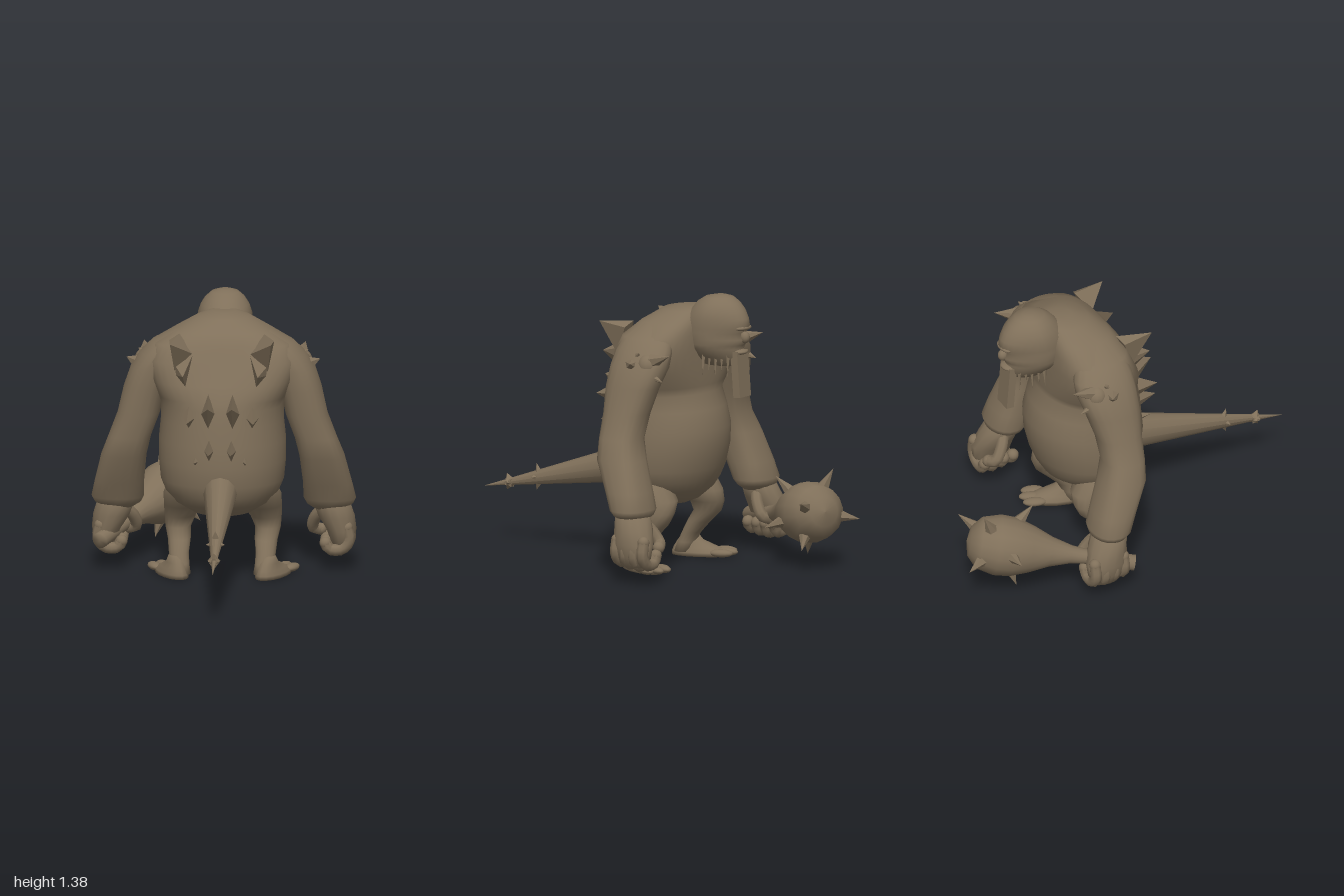
import * as THREE from 'three';
import { ConvexGeometry } from 'three/addons/geometries/ConvexGeometry.js';

const V = (x, y, z) => new THREE.Vector3(x, y, z);
const UP = V(0, 1, 0);

export function createModel() {
  const model = new THREE.Group();
  const hide = new THREE.MeshStandardMaterial({ color: 0x80705a });
  hide.name = 'brown hide';

  function add(geo, name, parent = model) {
    const m = new THREE.Mesh(geo, hide);
    m.name = name;
    parent.add(m);
    return m;
  }
  function group(name) {
    const g = new THREE.Group();
    g.name = name;
    model.add(g);
    return g;
  }

  // Skin over horizontal rings [x, y, z, rx, rz, roundness], lowest ring first; roundness below 1 is boxier
  function loft(rings, n = 20) {
    const pos = [], idx = [];
    const bend = (v, p) => Math.sign(v) * Math.abs(v) ** p;
    for (const [x, y, z, rx, rz, p = 1] of rings)
      for (let j = 0; j < n; j++) {
        const a = (j / n) * Math.PI * 2;
        pos.push(x + bend(Math.cos(a), p) * rx, y, z + bend(Math.sin(a), p) * rz);
      }
    for (let i = 0; i < rings.length - 1; i++)
      for (let j = 0; j < n; j++) {
        const a = i * n + j, b = i * n + (j + 1) % n;
        idx.push(a, a + n, b, b, a + n, b + n);
      }
    const last = (rings.length - 1) * n, c = rings.length * n;
    pos.push(...rings[0].slice(0, 3), ...rings[rings.length - 1].slice(0, 3));
    for (let j = 0; j < n; j++) {
      const k = (j + 1) % n;
      idx.push(c, j, k, c + 1, last + k, last + j);
    }
    const g = new THREE.BufferGeometry();
    g.setAttribute('position', new THREE.Float32BufferAttribute(pos, 3));
    g.setIndex(idx);
    g.computeVertexNormals();
    return g;
  }
  // Rings given by side profile [y, front z, back z, half width, roundness]
  const profile = rows => rows.map(([y, f, b, w, p]) => [0, y, (f + b) / 2, w, (b - f) / 2, p]);

  function spike(base, tip, r, name, parent, sides = 6) {
    const d = tip.clone().sub(base), len = d.length();
    let g = new THREE.ConeGeometry(r, len, sides);
    g.translate(0, len / 2, 0);
    if (sides < 10) { g = g.toNonIndexed(); g.computeVertexNormals(); }
    const m = add(g, name, parent);
    m.position.copy(base);
    m.quaternion.setFromUnitVectors(UP, d.normalize());
    return m;
  }
  function ball(x, y, z, sx, sy, sz, name, parent) {
    const m = add(new THREE.SphereGeometry(1, 14, 10), name, parent);
    m.position.set(x, y, z);
    m.scale.set(sx, sy, sz);
    return m;
  }
  // Bent limb with rounded ends
  function digit(points, r, name, parent) {
    add(new THREE.TubeGeometry(new THREE.CatmullRomCurve3(points), 10, r, 8), name, parent);
    for (const p of [points[0], points[points.length - 1]]) ball(p.x, p.y, p.z, r, r, r, name + 'Tip', parent);
  }

  // Torso: round belly under a broad, boxy chest
  add(loft(profile([
    [0.31, -0.22, -0.06, 0.06], [0.335, -0.28, 0.03, 0.15], [0.39, -0.34, 0.1, 0.24],
    [0.44, -0.37, 0.13, 0.28], [0.5, -0.395, 0.15, 0.305], [0.6, -0.42, 0.16, 0.315],
    [0.7, -0.425, 0.15, 0.315], [0.8, -0.4, 0.14, 0.305], [0.88, -0.365, 0.125, 0.305],
    [0.92, -0.37, 0.115, 0.315, 0.9], [1.0, -0.37, 0.085, 0.35, 0.75], [1.1, -0.37, 0.03, 0.375, 0.65],
    [1.18, -0.365, 0.0, 0.34, 0.65], [1.24, -0.36, -0.045, 0.235, 0.75],
    [1.295, -0.36, -0.12, 0.13], [1.312, -0.35, -0.2, 0.06],
  ]), 36), 'torso');

  // Head: egg-shaped, narrowing towards the face
  const head = group('head');
  const skull = loft(profile([
    [1.03, -0.52, -0.34, 0.05], [1.08, -0.57, -0.28, 0.1], [1.12, -0.565, -0.24, 0.125],
    [1.14, -0.575, -0.24, 0.13], [1.17, -0.59, -0.23, 0.135], [1.2, -0.575, -0.23, 0.135],
    [1.225, -0.605, -0.23, 0.135], [1.27, -0.595, -0.25, 0.135], [1.31, -0.575, -0.29, 0.122],
    [1.345, -0.545, -0.32, 0.1], [1.37, -0.51, -0.36, 0.07], [1.381, -0.47, -0.41, 0.03],
  ]), 28);
  const sp = skull.attributes.position;
  for (let i = 0; i < sp.count; i++)
    sp.setX(i, sp.getX(i) * (1 - 1.4 * Math.max(0, -0.42 - sp.getZ(i))));
  skull.computeVertexNormals();
  add(skull, 'skull', head);
  ball(0, 1.228, -0.57, 0.06, 0.016, 0.036, 'brow', head);
  ball(0, 1.18, -0.585, 0.024, 0.03, 0.026, 'nose', head);
  ball(0, 1.105, -0.56, 0.045, 0.014, 0.032, 'lowerLip', head);
  const beard = add(new THREE.BoxGeometry(0.095, 0.23, 0.04), 'beard', head);
  beard.position.set(0, 0.995, -0.56);
  beard.rotation.x = 0.08;

  for (const s of [1, -1]) {
    const side = s > 0 ? 'left' : 'right';

    // Whiskers under the jaw
    for (let i = 0; i < 5; i++)
      spike(V(s * (0.055 + i * 0.009), 1.1, -0.52 + i * 0.03),
        V(s * (0.055 + i * 0.012), 0.98 + (i % 2) * 0.03, -0.52 + i * 0.03), 0.013, side + 'Whisker', head, 4);

    // Arm ending in a slanted cuff
    add(loft([
      [s * 0.52, 0.31, -0.285, 0.07, 0.06], [s * 0.525, 0.335, -0.285, 0.115, 0.09],
      [s * 0.525, 0.365, -0.28, 0.13, 0.1, 0.85], [s * 0.515, 0.45, -0.25, 0.122, 0.105, 0.8],
      [s * 0.49, 0.6, -0.188, 0.112, 0.115, 0.75], [s * 0.46, 0.7, -0.165, 0.105, 0.105, 0.8],
      [s * 0.415, 0.82, -0.165, 0.105, 0.115, 0.85], [s * 0.385, 0.95, -0.18, 0.105, 0.14, 0.85],
      [s * 0.345, 1.05, -0.195, 0.11, 0.155, 0.85], [s * 0.31, 1.12, -0.195, 0.1, 0.155],
      [s * 0.26, 1.18, -0.185, 0.09, 0.13], [s * 0.19, 1.24, -0.18, 0.045, 0.07],
    ]), side + 'Arm');

    // Heavy hand curled around an axis running front to back
    const hand = group(side + 'Hand');
    add(loft([
      [s * 0.59, 0.09, -0.33, 0.035, 0.07], [s * 0.585, 0.14, -0.325, 0.06, 0.1],
      [s * 0.58, 0.2, -0.32, 0.075, 0.112], [s * 0.555, 0.27, -0.305, 0.092, 0.098],
      [s * 0.53, 0.36, -0.28, 0.09, 0.08],
    ], 14), 'palm', hand);
    for (let i = 0; i < 4; i++) {
      const z = -0.245 - i * 0.053, d = Math.abs(i - 1.8) * 0.008;
      digit([V(s * 0.61, 0.22, z), V(s * 0.62, 0.14 + d, z), V(s * 0.585, 0.095 + d, z),
        V(s * 0.525, 0.095 + d, z), V(s * 0.505, 0.14, z)], 0.03, 'finger', hand);
    }
    digit([V(s * 0.5, 0.31, -0.3), V(s * 0.45, 0.25, -0.34), V(s * 0.438, 0.19, -0.38),
      V(s * 0.475, 0.175, -0.4)], 0.03, 'thumb', hand);

    // Leg with the knee pushed forward
    add(loft([
      [s * 0.205, 0.02, -0.07, 0.05, 0.05], [s * 0.21, 0.07, -0.085, 0.048, 0.046],
      [s * 0.215, 0.12, -0.11, 0.05, 0.048], [s * 0.215, 0.18, -0.155, 0.057, 0.06],
      [s * 0.222, 0.235, -0.2, 0.064, 0.072], [s * 0.212, 0.29, -0.205, 0.078, 0.092],
      [s * 0.192, 0.35, -0.18, 0.1, 0.118], [s * 0.186, 0.42, -0.13, 0.106, 0.125],
      [s * 0.17, 0.5, -0.1, 0.09, 0.12],
    ], 16), side + 'Leg');

    // Flat splayed foot
    const foot = group(side + 'Foot');
    foot.position.set(s * 0.195, 0, -0.01);
    foot.rotation.y = -s * 0.4;
    add(loft([
      [0, 0, -0.145, 0.07, 0.15], [0, 0.02, -0.145, 0.07, 0.15],
      [0, 0.042, -0.12, 0.055, 0.115], [0, 0.075, -0.09, 0.045, 0.065], [0, 0.11, -0.09, 0.035, 0.035],
    ], 16), 'sole', foot);
    for (const t of [-1, 0, 1])
      ball(t * 0.05, 0.02, -0.27 + Math.abs(t) * 0.015, 0.03, 0.02, 0.06, 'toe', foot);

    // Spikes on the shoulder
    const shoulder = group(side + 'ShoulderSpikes');
    ball(s * 0.385, 1.06, -0.27, 0.055, 0.06, 0.055, 'spikeMound', shoulder);
    for (const [bx, by, bz, tx, ty, tz, r] of [
      [0.38, 1.08, -0.28, 0.4, 1.125, -0.41, 0.045], [0.42, 1.06, -0.2, 0.48, 1.08, -0.23, 0.04],
      [0.38, 1.09, -0.2, 0.42, 1.125, -0.24, 0.04], [0.39, 1.02, -0.27, 0.4, 0.99, -0.37, 0.038],
    ]) spike(V(s * bx, by, bz), V(s * tx, ty, tz), r, 'shoulderSpike', shoulder);

    // Back plates: diamond bases [x, y, z, half width, half height] with a raised tip
    const plates = group(side + 'BackPlates');
    for (const [x, y, z, w, h, tx, ty, tz] of [
      [0.06, 0.87, 0.11, 0.036, 0.1, 0.06, 0.92, 0.22],
      [0.155, 0.85, 0.08, 0.036, 0.06, 0.165, 0.84, 0.2],
      [0.055, 0.69, 0.13, 0.026, 0.06, 0.055, 0.69, 0.25],
      [0.12, 0.635, 0.12, 0.018, 0.025, 0.13, 0.635, 0.18],
    ]) add(new ConvexGeometry([V(s * x, y + h, z), V(s * x, y - h, z), V(s * (x - w), y, z),
      V(s * (x + w), y, z), V(s * tx, ty, tz)]), 'backSpike', plates);
    // Shoulder blade: an upper and a lower pointed plate
    add(new ConvexGeometry([V(s * 0.21, 1.24, -0.06), V(s * 0.26, 1.21, -0.04), V(s * 0.14, 1.15, 0.0),
      V(s * 0.23, 1.06, 0.02), V(s * 0.25, 1.225, 0.12)]), 'upperBlade', plates);
    add(new ConvexGeometry([V(s * 0.14, 1.15, 0.0), V(s * 0.235, 1.1, 0.0), V(s * 0.225, 1.05, 0.03),
      V(s * 0.175, 1.0, 0.07), V(s * 0.185, 1.065, 0.145)]), 'lowerBlade', plates);
  }

  // Tail with barbs
  const tail = group('tail');
  const root = V(0, 0.5, 0), end = V(0, 0.26, 1);
  spike(root, end, 0.108, 'tailCone', tail, 12).scale.x = 0.88;
  for (const [t, r] of [[0.66, 0.068], [0.84, 0.042]])
    for (let k = 0; k < 4; k++) {
      const a = k * Math.PI / 2, p = root.clone().lerp(end, t);
      spike(p, p.clone().add(V(Math.cos(a) * r * 0.7, Math.sin(a) * r, 0.02)), 0.032, 'tailBarb', tail, 4);
    }

  // Spiked club in the right hand
  const club = group('club');
  const shaft = add(new THREE.LatheGeometry([
    [0, 0], [0.04, 0], [0.038, 0.25], [0.046, 0.32], [0.075, 0.42], [0.118, 0.52], [0.148, 0.61],
    [0.153, 0.69], [0.13, 0.78], [0.075, 0.83], [0, 0.845],
  ].map(([r, t]) => new THREE.Vector2(r, t)), 16), 'clubBody', club);
  shaft.position.set(-0.61, 0.155, -0.18);
  shaft.quaternion.setFromUnitVectors(UP, V(0.39, 0.15, -0.74).normalize());
  const core = V(-0.295, 0.28, -0.77);
  for (const t of [
    [-0.4, 0.25, -1], [-0.07, 0.36, -0.88], [-0.34, 0.5, -0.88], [-0.36, 0.05, -0.71],
    [-0.54, 0.3, -0.78], [-0.14, 0.2, -0.6], [-0.28, 0.44, -0.57], [-0.14, 0.11, -0.83],
  ]) {
    const tip = V(...t), base = core.clone().add(tip.clone().sub(core).setLength(0.1));
    spike(base, tip, 0.046, 'clubSpike', club);
  }
  return model;
}
